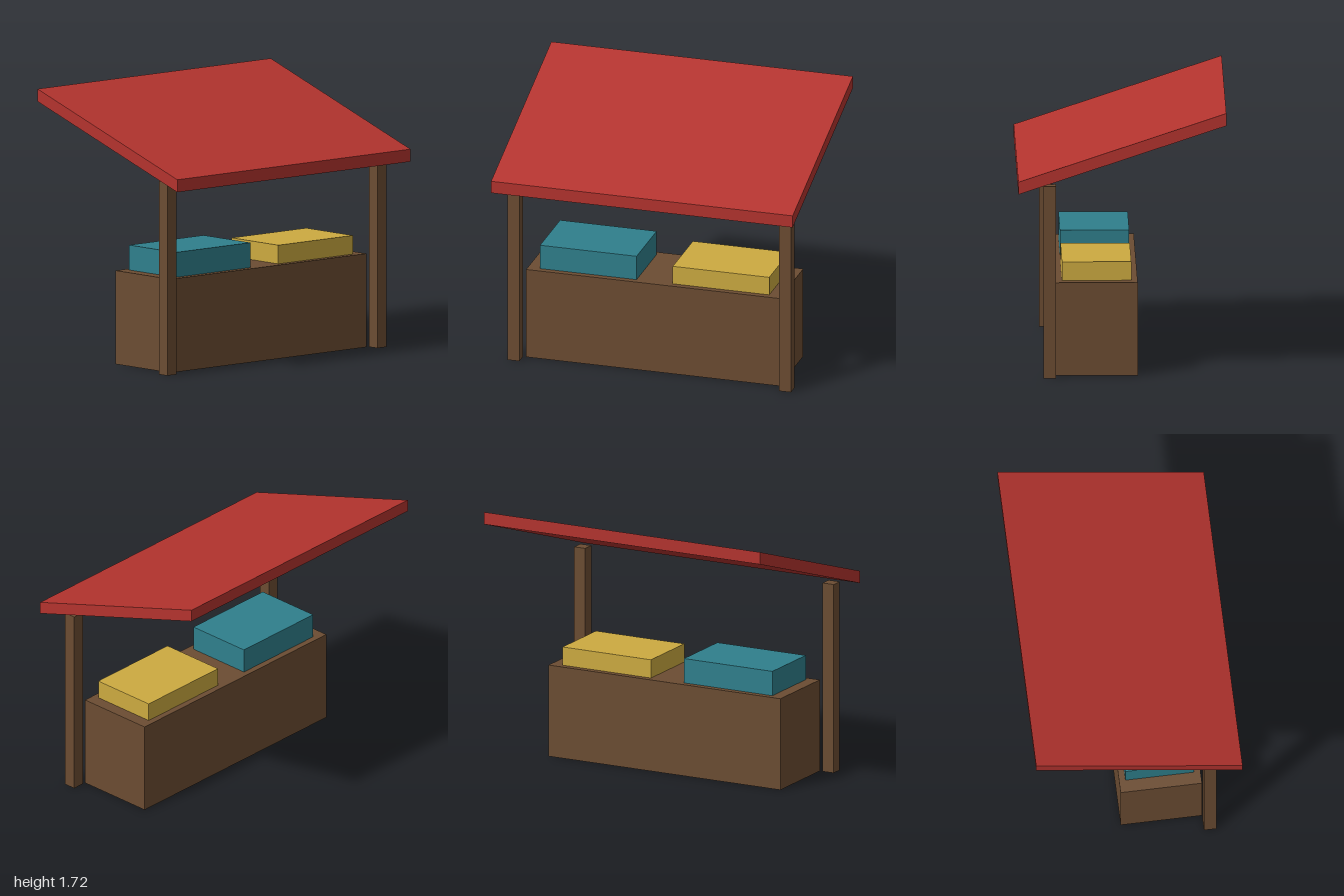
import * as THREE from 'three';

const material = (color) => new THREE.MeshStandardMaterial({ color, flatShading: true });

// Box given by its [min, max] range on each axis
function block(name, mat, [x0, x1], [y0, y1], [z0, z1]) {
  const mesh = new THREE.Mesh(new THREE.BoxGeometry(x1 - x0, y1 - y0, z1 - z0), mat);
  mesh.position.set((x0 + x1) / 2, (y0 + y1) / 2, (z0 + z1) / 2);
  mesh.name = name;
  return mesh;
}

export function createModel() {
  const stall = new THREE.Group();
  stall.name = 'marketStall';
  const wood = material(0x6b4c32);

  // Counter with two crates of goods on top
  stall.add(block('counter', wood, [-0.1, 0.42], [0, 0.6], [-0.84, 0.84]));
  stall.add(block('frontCrate', material(0x2f7f8c), [-0.06, 0.38], [0.6, 0.76], [0.12, 0.76]));
  stall.add(block('backCrate', material(0xccaa40), [-0.06, 0.38], [0.6, 0.72], [-0.76, -0.12]));

  // Posts at both ends
  for (const [name, z] of [['frontPost', 0.9], ['backPost', -0.9]]) {
    stall.add(block(name, wood, [0.42, 0.5], [0, 1.24], [z - 0.04, z + 0.04]));
  }

  // Sloping awning: a slab sheared so its end edges stay vertical
  const slab = new THREE.BoxGeometry(1.32, 0.08, 2);
  slab.applyMatrix4(new THREE.Matrix4().set(
    1, 0, 0, 0,
    -1 / 3, 1, 0, 1.46,
    0, 0, 1, 0,
    0, 0, 0, 1,
  ));
  slab.computeVertexNormals();
  const awning = new THREE.Mesh(slab, material(0xb3332e));
  awning.name = 'awning';
  stall.add(awning);

  return stall;
}
